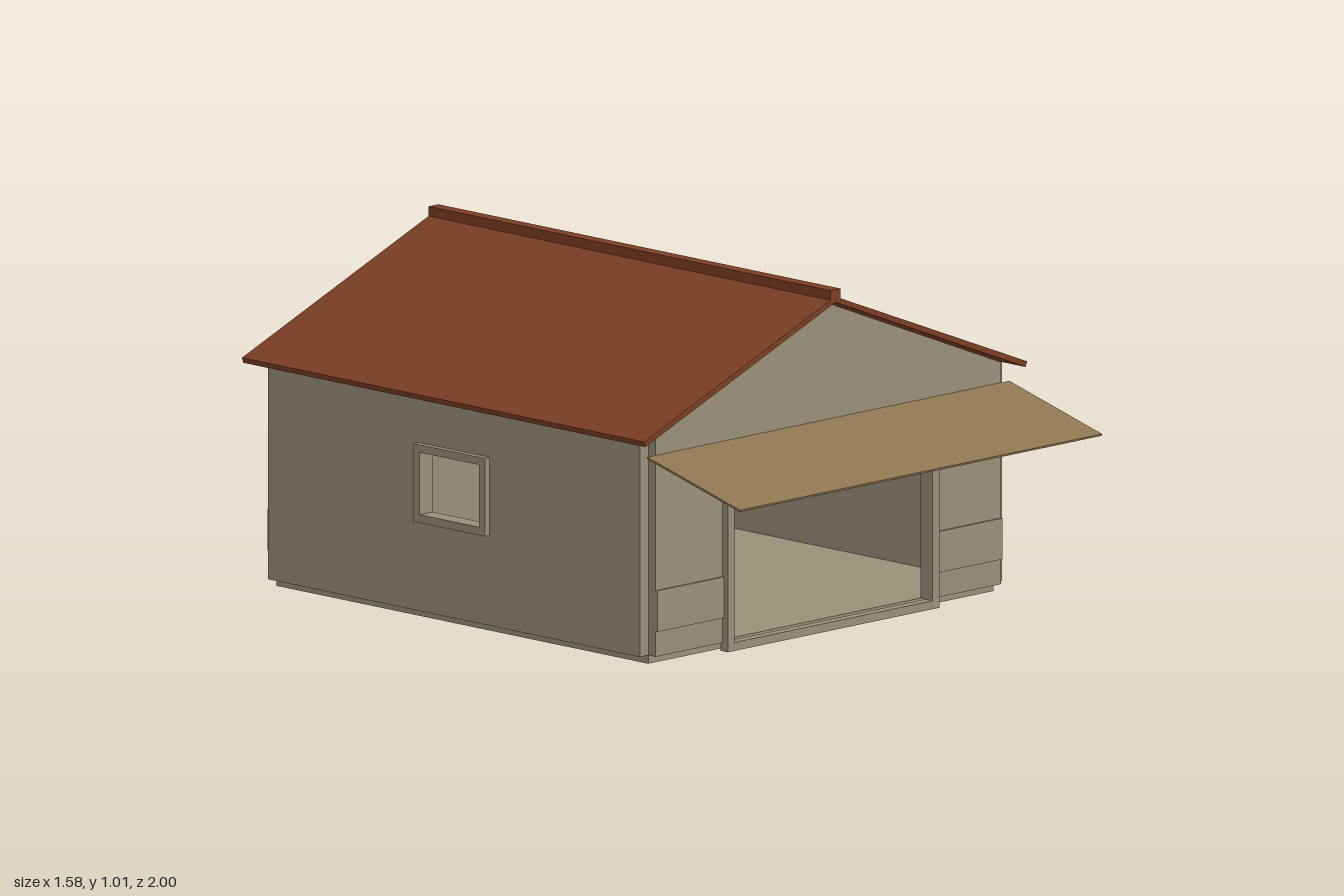
import * as THREE from 'three';

const wallMat = new THREE.MeshStandardMaterial({ color: 0x9a9079 });
wallMat.name = 'plaster';
const roofMat = new THREE.MeshStandardMaterial({ color: 0x7c3e24 });
roofMat.name = 'roofRed';
const awningMat = new THREE.MeshStandardMaterial({ color: 0x8f7550 });
awningMat.name = 'awningTan';

const shapeOf = (pts, Type = THREE.Shape) => new Type(pts.map(([x, y]) => new THREE.Vector2(x, y)));
const rect = (x0, x1, y0, y1, Type) => shapeOf([[x0, y0], [x1, y0], [x1, y1], [x0, y1]], Type);

export function createModel() {
  const house = new THREE.Group();
  house.name = 'house';

  const add = (name, geometry, material) => {
    const mesh = new THREE.Mesh(geometry, material);
    mesh.name = name;
    house.add(mesh);
    return mesh;
  };
  // Box given by its extents
  const box = (name, x0, x1, y0, y1, z0, z1, material = wallMat) =>
    add(name, new THREE.BoxGeometry(x1 - x0, y1 - y0, z1 - z0), material)
      .position.set((x0 + x1) / 2, (y0 + y1) / 2, (z0 + z1) / 2);
  // Flat panel with optional holes, extruded along +z
  const panel = (shape, depth, holes = []) => {
    shape.holes.push(...holes);
    return new THREE.ExtrudeGeometry(shape, { depth, bevelEnabled: false });
  };

  // Floor slab
  box('floor', -0.71, 0.71, 0, 0.025, -0.935, 0.59);

  // Gabled front wall with the doorway cut out
  add('frontWall', panel(shapeOf([
    [-0.71, 0.025], [-0.41, 0.025], [-0.41, 0.565], [0.41, 0.565], [0.41, 0.025],
    [0.71, 0.025], [0.71, 0.685], [0, 0.968], [-0.71, 0.685],
  ]), 0.03), wallMat).position.z = 0.59;

  // Gabled back wall with its window opening
  add('backWall', panel(shapeOf([
    [-0.71, 0.025], [0.71, 0.025], [0.71, 0.685], [0, 0.968], [-0.71, 0.685],
  ]), 0.03, [rect(-0.11, 0.11, 0.315, 0.5, THREE.Path)]), wallMat).position.z = -0.965;

  const windowFrame = () => panel(rect(-0.14, 0.14, 0.293, 0.525), 0.025,
    [rect(-0.11, 0.11, 0.317, 0.5, THREE.Path)]);
  add('backWindowFrame', windowFrame(), wallMat).position.z = -0.99;

  // Side walls and their window frames
  for (const [side, s] of [['left', 1], ['right', -1]]) {
    const z0 = s > 0 ? -0.59 : -0.935, z1 = s > 0 ? 0.935 : 0.59;
    const zc = -0.172;
    const u = -s * zc; // window centre along the turned panel
    const wall = add(side + 'Wall', panel(rect(z0, z1, 0.025, 0.675), 0.035,
      [rect(u - 0.122, u + 0.122, 0.317, 0.502, THREE.Path)]), wallMat);
    wall.rotation.y = s * Math.PI / 2;
    wall.position.x = s * 0.71;
    const frame = add(side + 'WindowFrame', panel(rect(-0.146, 0.146, 0.293, 0.525), 0.02,
      [rect(-0.122, 0.122, 0.317, 0.502, THREE.Path)]), wallMat);
    frame.rotation.y = s * Math.PI / 2;
    frame.position.set(s * 0.745, 0, zc);
  }

  // Door frame with sill
  add('doorFrame', panel(rect(-0.435, 0.435, 0, 0.59), 0.03,
    [rect(-0.407, 0.407, 0.025, 0.563, THREE.Path)]), wallMat).position.z = 0.612;

  // Thin boards along the lower walls
  box('frontBoardLeft', 0.435, 0.71, 0.1, 0.222, 0.62, 0.627);
  box('frontBoardRight', -0.71, -0.435, 0.1, 0.222, 0.62, 0.627);
  box('backBoard', -0.71, 0.71, 0.1, 0.222, -0.972, -0.965);

  // Roof slopes
  for (const [side, s] of [['left', 1], ['right', -1]]) {
    const pts = [[0, 0.975], [s * 0.782, 0.664], [s * 0.788, 0.68], [0, 0.992]];
    add(side + 'Roof', panel(shapeOf(pts), 1.65), roofMat).position.z = -1;
  }
  box('ridgeCap', -0.02, 0.02, 0.977, 1.013, -1, 0.65, roofMat);

  // Sloping awning over the door
  const awning = add('awning',
    new THREE.BoxGeometry(1.49, 0.006, Math.hypot(0.38, 0.1)), awningMat);
  awning.position.set(0, 0.571, 0.81);
  awning.rotation.x = Math.atan2(0.1, 0.38);

  return house;
}
